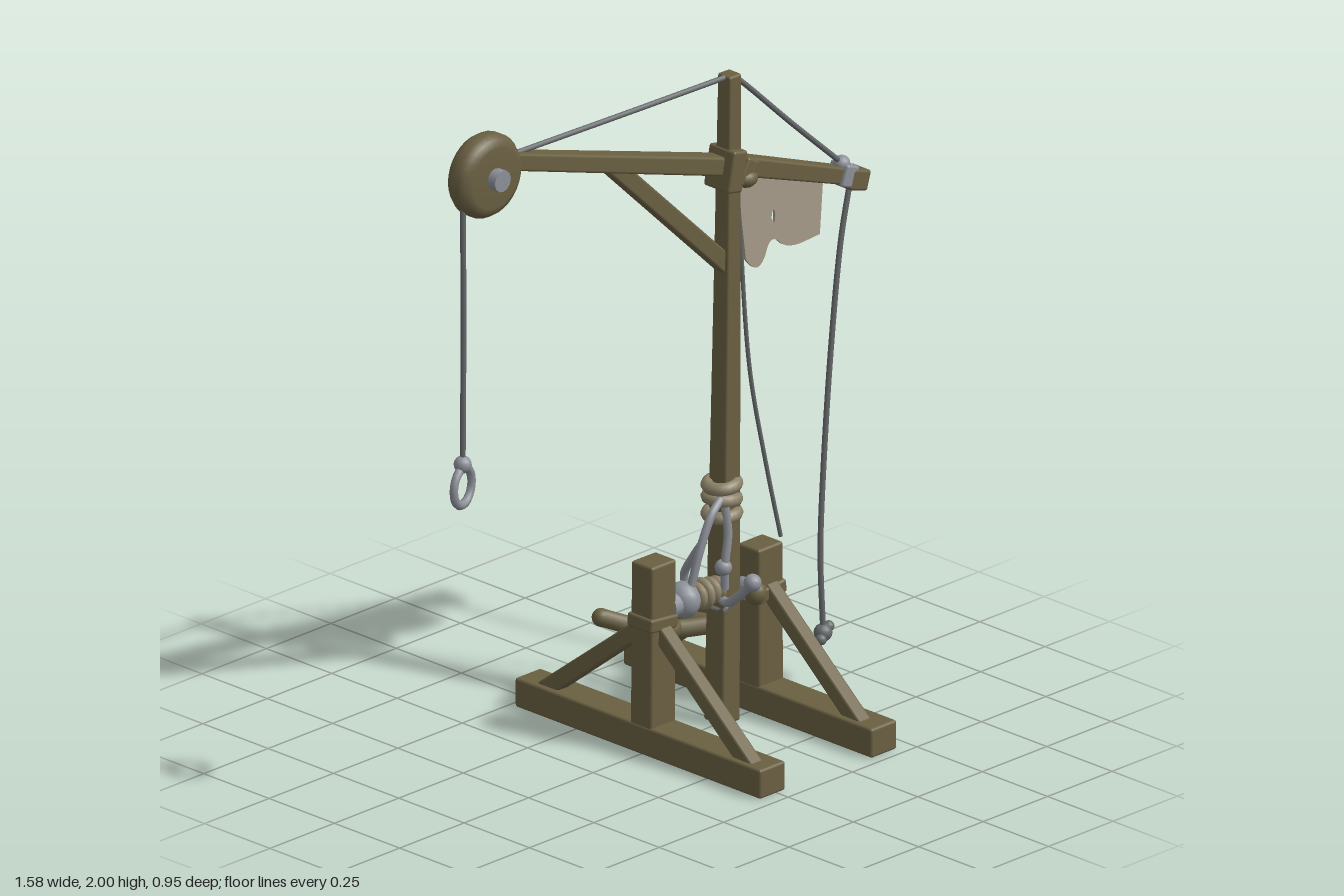
import * as THREE from 'three';
import { RoundedBoxGeometry } from 'three/addons/geometries/RoundedBoxGeometry.js';

const mat = (name, color, side = THREE.FrontSide) => {
  const m = new THREE.MeshStandardMaterial({ color, side });
  m.name = name;
  return m;
};
const V = (p) => new THREE.Vector3(...p);

export function createModel() {
  const root = new THREE.Group();
  root.name = 'crane';
  const wood = mat('wood', 0x6a6042);
  const metal = mat('metal', 0x8d9299);
  const cord = mat('cord', 0x66696b);
  const hemp = mat('hemp', 0x8d8269);
  const cloth = mat('cloth', 0xa79b8a, THREE.DoubleSide);

  const add = (name, geo, m, pos = [0, 0, 0], rot = [0, 0, 0], parent = root) => {
    const mesh = new THREE.Mesh(geo, m);
    mesh.name = name;
    mesh.position.set(...pos);
    mesh.rotation.set(...rot);
    parent.add(mesh);
    return mesh;
  };
  const box = (name, size, pos, rot, m = wood, parent = root) =>
    add(name, new RoundedBoxGeometry(...size, 2, 0.008), m, pos, rot, parent);
  const ball = (name, r, pos, m = metal, scale = [1, 1, 1]) =>
    add(name, new THREE.SphereGeometry(r, 14, 10), m, pos).scale.set(...scale);
  // Timber from a to b, w along x and d along z, tapering to w * taper
  const timber = (name, a, b, w, d, taper = 1, parent = root) => {
    const A = V(a), B = V(b), len = A.distanceTo(B);
    const geo = new RoundedBoxGeometry(w, len, d, 2, 0.008);
    const p = geo.attributes.position;
    for (let i = 0; i < p.count; i++) {
      const s = THREE.MathUtils.lerp(1, taper, p.getY(i) / len + 0.5);
      p.setX(i, p.getX(i) * s);
      p.setZ(i, p.getZ(i) * s);
    }
    const mesh = add(name, geo, wood, A.clone().lerp(B, 0.5).toArray(), [0, 0, 0], parent);
    mesh.quaternion.setFromUnitVectors(new THREE.Vector3(0, 1, 0), B.sub(A).normalize());
    return mesh;
  };
  const rope = (name, pts, r = 0.007, m = cord, sides = 8) =>
    add(name, new THREE.TubeGeometry(new THREE.CatmullRomCurve3(pts.map(V)), pts.length * 8, r, sides), m);

  // Mast and jib
  timber('mast', [0.25, 0.01, 0], [0.28, 1.91, 0], 0.07, 0.076, 0.64);
  timber('jibFront', [-0.57, 1.9, -0.02], [0.3, 1.63, -0.012], 0.05, 0.055, 1.1);
  timber('jibRear', [0.27, 1.645, -0.008], [0.76, 1.465, 0.005], 0.058, 0.056, 0.8);
  box('jibEnd', [0.07, 0.06, 0.072], [0.75, 1.465, 0.005], [0, 0, -0.3]);
  timber('jibBrace', [-0.17, 1.77, -0.015], [0.27, 1.345, -0.005], 0.052, 0.045);
  box('mastStrap', [0.055, 0.12, 0.1], [0.265, 1.635, 0], [0, 0, -0.2]);
  box('jibStrap', [0.05, 0.08, 0.085], [0.318, 1.615, 0], [0, 0, -0.5]);
  ball('jibPeg', 0.032, [0.32, 1.595, 0.025], wood, [1.1, 0.8, 0.9]);

  // Pulley wheel
  const wheelProfile = [[0, -0.042], [0.088, -0.042], [0.11, -0.032], [0.121, -0.014],
    [0.121, 0.014], [0.11, 0.032], [0.088, 0.042], [0, 0.042]].map(([x, y]) => new THREE.Vector2(x, y));
  add('pulleyWheel', new THREE.LatheGeometry(wheelProfile, 32), wood, [-0.65, 1.88, -0.02], [Math.PI / 2, 0, 0]);
  add('pulleyHub', new THREE.CylinderGeometry(0.031, 0.031, 0.136, 12), metal, [-0.65, 1.88, -0.018], [Math.PI / 2, 0, 0]);

  // Hoisting line and ring
  rope('hoistLine', [[-0.735, 1.83, -0.02], [-0.732, 1.5, -0.02], [-0.735, 1.05, -0.02]], 0.008);
  ball('ringKnot', 0.025, [-0.735, 1.05, -0.02]);
  add('hoistRing', new THREE.TorusGeometry(0.048, 0.012, 8, 24), metal, [-0.735, 0.985, -0.02], [0, 0.25, 0]).scale.y = 1.12;

  // Stay ropes over the mast head
  rope('frontStay', [[-0.6, 1.91, -0.02], [-0.1, 1.904, -0.01], [0.28, 1.902, 0]], 0.008);
  rope('rearStay', [[0.28, 1.905, 0], [0.31, 1.885, 0], [0.52, 1.69, 0.004], [0.72, 1.51, 0.005]], 0.008);

  // Rear clamp and trailing ropes
  box('rearClamp', [0.05, 0.064, 0.07], [0.715, 1.485, 0.004], [0, 0, -0.35], metal);
  ball('clampKnob', 0.024, [0.71, 1.517, 0.005]);
  rope('tailRope', [[0.74, 1.47, 0.01], [0.7, 1.3, 0.012], [0.66, 1, 0.014], [0.63, 0.65, 0.014],
    [0.618, 0.4, 0.014], [0.628, 0.17, 0.014]], 0.008);
  ball('tailKnot', 0.026, [0.628, 0.16, 0.014], cord);
  [[0.022, 0.012, 0], [-0.02, -0.012, 0.012], [0.01, -0.02, -0.014]].forEach(([x, y, z]) =>
    ball('tailKnotLobe', 0.016, [0.628 + x, 0.16 + y, 0.014 + z], cord));
  rope('looseRope', [[0.315, 1.6, 0], [0.33, 1.3, 0], [0.36, 1, 0], [0.42, 0.72, 0], [0.478, 0.485, 0]], 0.006);

  // Torn banner with a small hole
  const s = new THREE.Shape();
  s.moveTo(0.305, 1.62);
  s.lineTo(0.635, 1.5);
  s.lineTo(0.622, 1.335);
  s.bezierCurveTo(0.57, 1.335, 0.52, 1.32, 0.475, 1.35);
  s.bezierCurveTo(0.43, 1.4, 0.42, 1.36, 0.41, 1.335);
  s.bezierCurveTo(0.385, 1.29, 0.36, 1.31, 0.335, 1.345);
  s.lineTo(0.318, 1.47);
  const hole = new THREE.Path();
  hole.absellipse(0.442, 1.44, 0.007, 0.02, 0, Math.PI * 2);
  s.holes.push(hole);
  add('banner', new THREE.ExtrudeGeometry(s, { depth: 0.008, bevelEnabled: false, curveSegments: 8 }), cloth, [0, 0, 0]);

  // Two trestle stands
  [[-0.018, 0.56, -0.48, 0.46], [0.402, 0.49, -0.48, 0.472]].forEach(([x, top, z0, z1], i) => {
    const g = new THREE.Group();
    g.name = i ? 'leftStand' : 'rightStand';
    root.add(g);
    box('footBeam', [0.1, 0.086, z1 - z0], [x, 0.045, (z0 + z1) / 2], [0, 0, 0], wood, g);
    timber('standPost', [x, 0.01, 0], [x + (i ? -0.002 : 0.004), top, 0], 0.096, 0.082, 1, g);
    for (const k of [-1, 1])
      timber('standBrace', [x - 0.012, 0.065, k * 0.4], [x + 0.005, 0.375, k * 0.01], 0.046, 0.05, 0.95, g);
    box('standBand', [0.108, 0.04, 0.096], [x, i ? 0.355 : 0.385, 0], [0, 0, i ? 0.1 : -0.1], wood, g);
  });
  ball('bearingCap', 0.042, [0.352, 0.365, -0.01], metal, [0.6, 0.8, 1]);
  ball('bearingBlock', 0.04, [0.358, 0.36, 0.022], wood, [0.8, 0.9, 0.8]);
  ball('axleSocket', 0.035, [0.03, 0.35, 0.015], wood);

  // Winch drum
  const across = [0, 0, Math.PI / 2];
  add('winchAxle', new THREE.CylinderGeometry(0.024, 0.024, 0.22, 12), wood, [0.125, 0.415, 0.015], across);
  ball('drumWinding', 0.052, [0.085, 0.418, 0.015], metal, [0.85, 1, 1]);
  add('drumCollar', new THREE.CylinderGeometry(0.034, 0.034, 0.03, 14), metal, [0.04, 0.415, 0.015], across);
  [[0.135, 0.036], [0.158, 0.042], [0.19, 0.034], [0.215, 0.03]].forEach(([x, r]) =>
    add('drumCoil', new THREE.TorusGeometry(r - 0.008, 0.013, 8, 18), hemp, [x, 0.415, 0.015], [0, Math.PI / 2, 0]));

  // Crank with a knob, and a loose cable loop
  rope('crankArm', [[0.205, 0.475, 0.16], [0.203, 0.42, 0.11], [0.21, 0.385, 0.06], [0.22, 0.39, 0.01]], 0.013, metal);
  ball('crankKnob', 0.025, [0.205, 0.475, 0.162]);
  rope('cableLoop', [[0.205, 0.55, -0.02], [0.2, 0.49, -0.06], [0.205, 0.42, -0.1], [0.215, 0.375, -0.09],
    [0.23, 0.35, -0.03], [0.235, 0.35, 0.045]], 0.012, metal);

  // Lashing round the mast and lines down to the winch
  [[0.708, 0.1], [0.668, -0.12], [0.622, 0.06]].forEach(([y, tilt]) =>
    add('mastLashing', new THREE.TorusGeometry(0.04, 0.019, 8, 20), hemp, [0.25, y, 0], [Math.PI / 2, tilt, 0]));
  rope('winchLine', [[0.215, 0.68, 0.03], [0.17, 0.65, 0.04], [0.125, 0.56, 0.04], [0.095, 0.44, 0.03]], 0.012, metal);
  rope('mastLine', [[0.222, 0.66, 0.04], [0.225, 0.58, 0.048], [0.212, 0.5, 0.05], [0.215, 0.42, 0.045]], 0.012, metal);
  ball('lineKnot', 0.024, [0.21, 0.485, 0.045]);

  // Forked log behind the mast
  rope('forkedLog', [[0.065, 0.285, -0.28], [0.13, 0.258, -0.225], [0.22, 0.24, -0.16], [0.33, 0.242, -0.095]], 0.026, wood, 10);
  rope('logBranch', [[0.33, 0.242, -0.095], [0.302, 0.242, -0.18], [0.288, 0.27, -0.26]], 0.025, wood, 10);
  [[0.065, 0.285, -0.28], [0.33, 0.242, -0.095], [0.288, 0.27, -0.26]].forEach((p) => ball('logEnd', 0.026, p, wood));

  return root;
}
